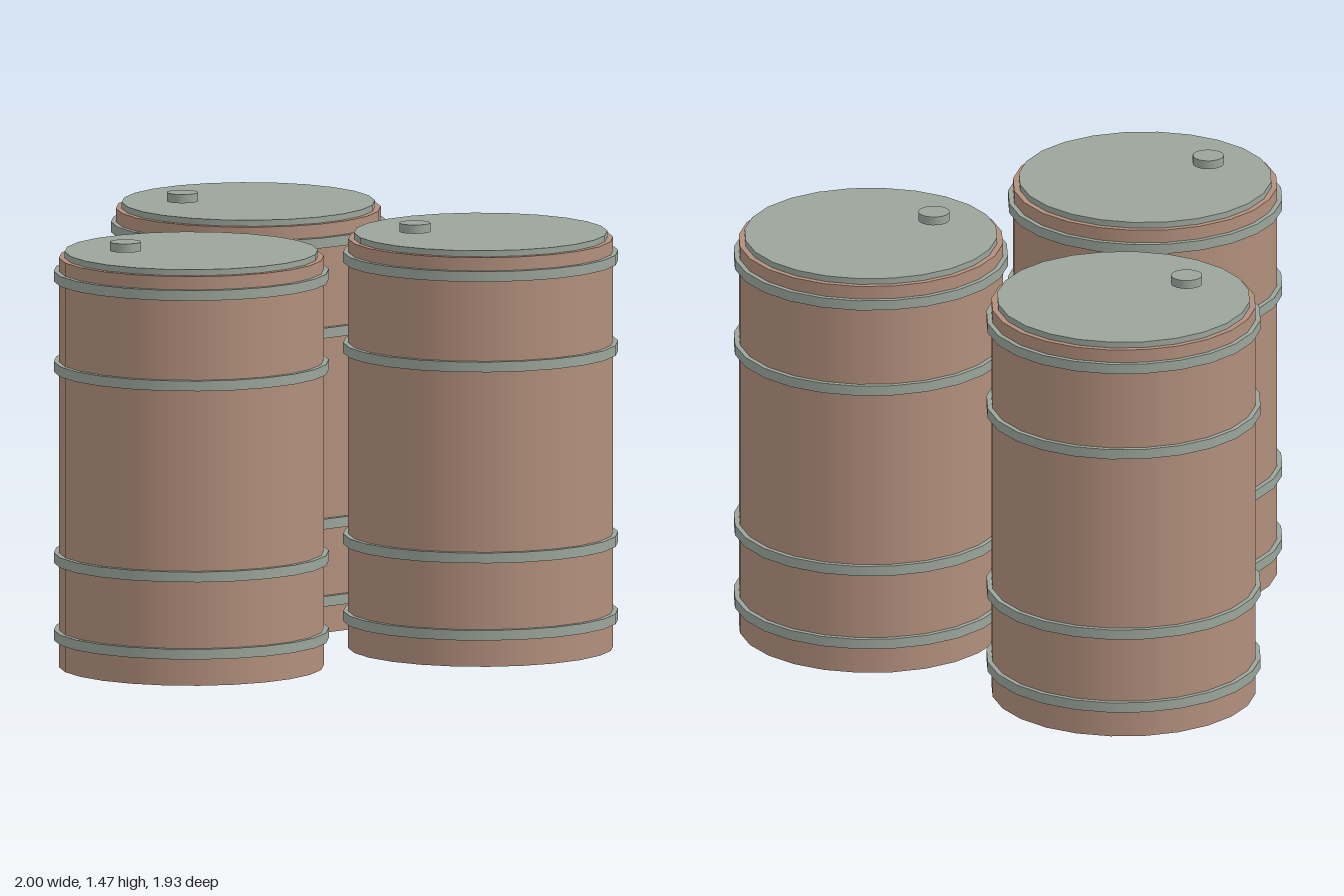
import * as THREE from 'three';

const SIDES = 24;

export function createModel() {
  const rust = new THREE.MeshStandardMaterial({ color: 0xb28f7c });
  rust.name = 'rusty brown';
  const steel = new THREE.MeshStandardMaterial({ color: 0x9ba59b });
  steel.name = 'grey green steel';

  // Upright cylinder spanning y = bottom to top
  const disc = (name, radius, bottom, top, material, x = 0) => {
    const geometry = new THREE.CylinderGeometry(radius, radius, top - bottom, SIDES);
    const mesh = new THREE.Mesh(geometry, material);
    mesh.name = name;
    mesh.position.set(x, (bottom + top) / 2, 0);
    return mesh;
  };

  const createBarrel = (name, x, z) => {
    const barrel = new THREE.Group();
    barrel.name = name;
    barrel.add(disc('body', 0.45, 0, 1.403, rust));
    // Raised hoops around the body
    [0.11, 0.375, 1.03, 1.34].forEach((y, i) => {
      barrel.add(disc(`hoop${i + 1}`, 0.467, y - 0.0175, y + 0.0175, steel));
    });
    // Lid and off-centre filler cap
    barrel.add(disc('lid', 0.43, 1.395, 1.424, steel));
    barrel.add(disc('cap', 0.053, 1.436, 1.466, steel, -0.235));
    barrel.position.set(x, 0, z);
    return barrel;
  };

  const group = new THREE.Group();
  group.name = 'barrels';
  group.add(
    createBarrel('backBarrel', 0, -0.5),
    createBarrel('frontRightBarrel', -0.533, 0.5),
    createBarrel('frontLeftBarrel', 0.533, 0.4),
  );
  return group;
}
